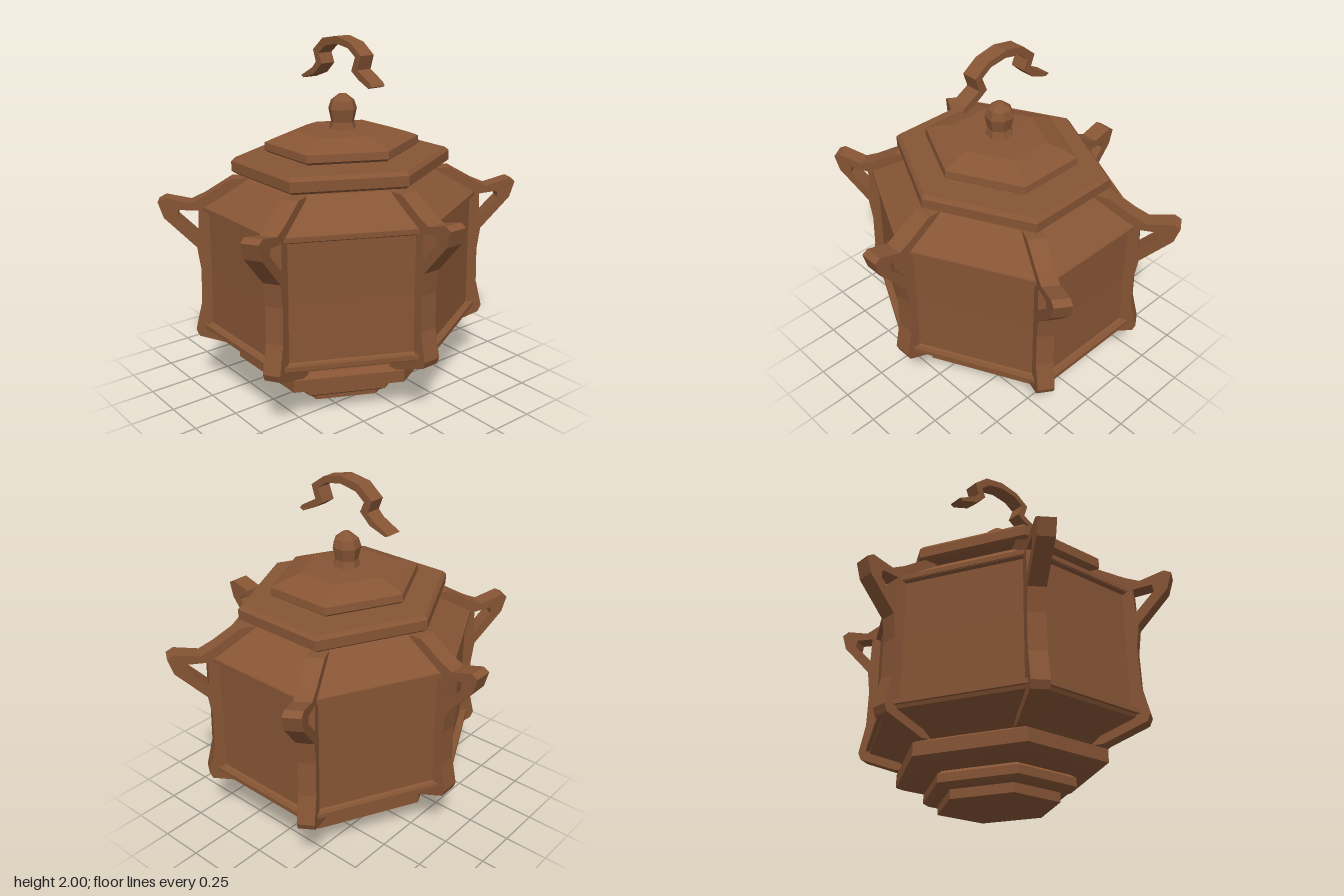
import * as THREE from 'three';

const wood = new THREE.MeshStandardMaterial({ color: 0x875535 });
wood.name = 'brown wood';

// Faceted mesh
function facet(geometry, name) {
  const g = geometry.index ? geometry.toNonIndexed() : geometry;
  g.computeVertexNormals();
  const mesh = new THREE.Mesh(g, wood);
  mesh.name = name;
  return mesh;
}

// Closed hexagonal solid from [radius, height] pairs, corners on the x axis
function hexTier(name, profile) {
  const pts = profile.map(([r, y]) => new THREE.Vector2(r, y));
  return facet(new THREE.LatheGeometry(pts, 6, Math.PI / 2), name);
}

// Flat outline in x and y, extruded evenly about z = 0
function plate(name, outline, width, hole) {
  const shape = new THREE.Shape(outline.map(p => new THREE.Vector2(...p)));
  if (hole) shape.holes.push(new THREE.Path(hole.map(p => new THREE.Vector2(...p))));
  const g = new THREE.ExtrudeGeometry(shape, { depth: width, bevelEnabled: false });
  g.translate(0, 0, -width / 2);
  return facet(g, name);
}

export function createModel() {
  const model = new THREE.Group();
  model.name = 'hexagonalLantern';

  // The hexagon is stretched along z
  const body = new THREE.Group();
  body.name = 'lanternBody';
  body.scale.z = 1.155;
  model.add(body);

  // Stepped foot
  body.add(hexTier('foot', [[0, 0], [0.31, 0], [0.31, 0.05], [0, 0.05]]));
  body.add(hexTier('footRing', [[0, 0.05], [0.36, 0.05], [0.39, 0.07], [0.39, 0.115], [0.36, 0.135], [0, 0.135]]));
  body.add(hexTier('lowerTier', [[0, 0.155], [0.5, 0.155], [0.545, 0.175], [0.545, 0.245], [0.5, 0.265], [0, 0.265]]));

  // Chamber with sloping floor, recessed panels and sloping roof
  body.add(hexTier('chamber', [
    [0, 0.27], [0.48, 0.27], [0.5, 0.285], [0.71, 0.375], [0.725, 0.405], [0.695, 0.425],
    [0.69, 0.75], [0.69, 1.07], [0.71, 1.08], [0.71, 1.105], [0.5, 1.245], [0.48, 1.255], [0, 1.255],
  ]));

  // Stepped lid
  body.add(hexTier('lid', [[0, 1.275], [0.53, 1.275], [0.55, 1.29], [0.55, 1.345], [0.53, 1.365], [0, 1.365]]));
  body.add(hexTier('lidCap', [
    [0, 1.385], [0.37, 1.385], [0.39, 1.4], [0.385, 1.44], [0.34, 1.46], [0.24, 1.495], [0, 1.505],
  ]));

  // Corner posts, each with a looped bracket at the top
  const post = [
    [0.47, 0.26], [0.53, 0.26], [0.74, 0.35], [0.755, 0.39], [0.72, 0.55], [0.715, 0.75], [0.73, 0.88],
    [0.88, 1.06], [0.905, 1.15], [0.87, 1.17], [0.75, 1.135], [0.68, 1.17], [0.55, 1.255], [0.47, 1.255],
    [0.62, 1.1], [0.64, 1.0], [0.64, 0.45], [0.6, 0.38],
  ];
  const loop = [[0.715, 1.09], [0.72, 0.95], [0.815, 1.06], [0.81, 1.1]];
  for (let i = 0; i < 6; i++) {
    const corner = new THREE.Group();
    corner.name = 'cornerPost' + (i + 1);
    corner.rotation.y = i * Math.PI / 3;
    corner.add(plate('post', post, 0.09, loop));
    body.add(corner);
  }

  // Rails framing every panel, above and below
  for (let i = 0; i < 6; i++) {
    const side = new THREE.Group();
    side.name = 'panelFrame' + (i + 1);
    side.rotation.y = (i + 0.5) * Math.PI / 3;
    for (const [name, y, r] of [['lowerRail', 0.405, 0.72], ['upperRail', 1.095, 0.7]]) {
      const rail = facet(new THREE.BoxGeometry(0.035, 0.025, r - 0.05), name);
      rail.position.set(r * 0.866 - 0.003, y, 0);
      side.add(rail);
    }
    body.add(side);
  }

  // Bud-shaped knob
  const bud = [[0, 1.49], [0.08, 1.49], [0.065, 1.54], [0.08, 1.61], [0.065, 1.655], [0.02, 1.69], [0, 1.692]];
  const knob = facet(new THREE.LatheGeometry(bud.map(p => new THREE.Vector2(...p)), 7), 'knob');
  model.add(knob);

  // Carrying handle floating above the knob
  model.add(plate('handle', [
    [-0.32, 1.755], [-0.295, 1.745], [-0.195, 1.78], [-0.13, 1.84], [-0.155, 1.895], [-0.1, 1.94],
    [0, 1.96], [0.1, 1.945], [0.16, 1.905], [0.13, 1.83], [0.19, 1.79], [0.27, 1.755], [0.295, 1.765],
    [0.28, 1.785], [0.18, 1.84], [0.205, 1.915], [0.12, 1.975], [0, 2], [-0.12, 1.98],
    [-0.205, 1.91], [-0.18, 1.845], [-0.215, 1.81],
  ], 0.09));

  return model;
}
